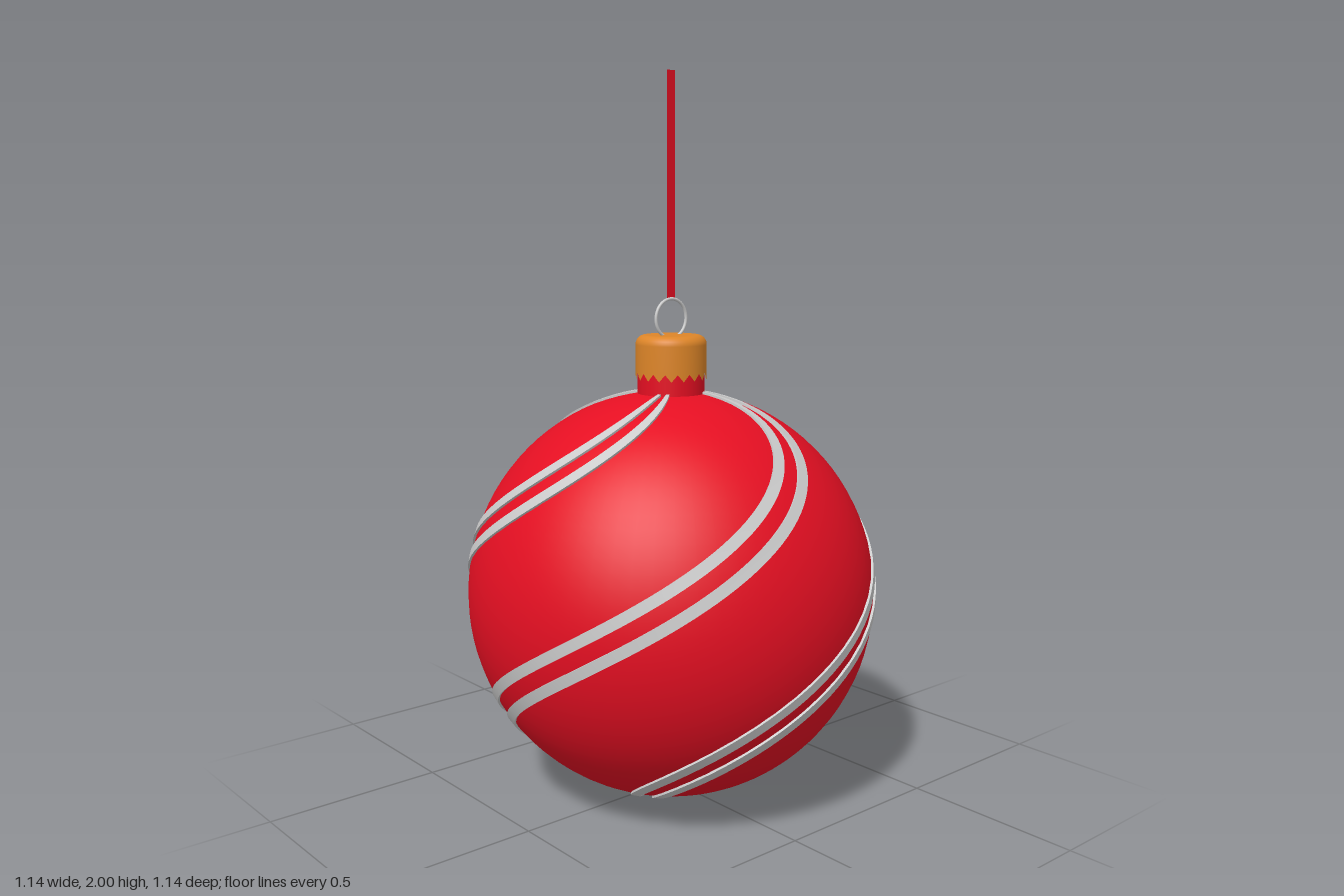
import * as THREE from 'three';

const RED = 0xe50f22, GOLD = 0xdd8528, GREY = 0xcccccc;
const R = 0.569, CENTRE = 0.573;

function part(parent, name, geometry, color, side = THREE.FrontSide) {
  const mesh = new THREE.Mesh(geometry, new THREE.MeshStandardMaterial({ color, side }));
  mesh.name = name;
  parent.add(mesh);
  return mesh;
}

// Raised band that twists round the ball from pole to pole; its turn grows with height
function stripeGeometry(startDeg) {
  const steps = 96, half = THREE.MathUtils.degToRad(2.9), rOut = R + 0.006, rIn = R - 0.01;
  const corners = [[-half, rIn], [-half, rOut], [half, rOut], [half, rIn]];
  const pos = [], index = [];
  for (let face = 0; face < 3; face++) {
    const base = pos.length / 3;
    for (let i = 0; i <= steps; i++) {
      const theta = THREE.MathUtils.lerp(0.1, Math.PI - 0.004, i / steps);
      const phi = THREE.MathUtils.degToRad(startDeg - 97 * Math.cos(theta));
      for (const [a, r] of [corners[face], corners[face + 1]]) {
        pos.push(r * Math.sin(theta) * Math.cos(phi + a), r * Math.cos(theta), r * Math.sin(theta) * Math.sin(phi + a));
      }
      if (i < steps) {
        const k = base + i * 2;
        index.push(k, k + 1, k + 2, k + 1, k + 3, k + 2);
      }
    }
  }
  const g = new THREE.BufferGeometry();
  g.setAttribute('position', new THREE.Float32BufferAttribute(pos, 3));
  g.setIndex(index);
  g.computeVertexNormals();
  return g;
}

// Round cap with a softened top edge and a zigzag lower rim
function capGeometry() {
  const r = 0.098, top = 1.295, bevel = 0.026, teeth = 18;
  const profile = [new THREE.Vector2(r, 1.18), new THREE.Vector2(r, 1.2)];
  for (let i = 0; i <= 6; i++) {
    const a = (i / 6) * Math.PI / 2;
    profile.push(new THREE.Vector2(r - bevel + bevel * Math.cos(a), top - bevel + bevel * Math.sin(a)));
  }
  profile.push(new THREE.Vector2(0, top));
  const g = new THREE.LatheGeometry(profile, teeth * 4);
  const p = g.attributes.position;
  for (let s = 0; s <= teeth * 4; s++) {
    p.setY(s * profile.length, 1.173 + 0.01 * Math.abs((s % 4) - 2));
  }
  return g;
}

export function createModel() {
  const model = new THREE.Group();
  model.name = 'bauble';

  part(model, 'ball', new THREE.SphereGeometry(R, 64, 48), RED).position.y = CENTRE;

  // Four pairs of twisted bands
  const stripes = new THREE.Group();
  stripes.name = 'stripes';
  stripes.position.y = CENTRE;
  model.add(stripes);
  for (let i = 0; i < 4; i++) {
    for (const offset of [0, 14]) {
      part(stripes, 'stripe', stripeGeometry(142 + offset + i * 90), GREY, THREE.DoubleSide);
    }
  }

  // Neck, cap and wire loop
  part(model, 'neck', new THREE.CylinderGeometry(0.093, 0.093, 0.11, 48), RED).position.y = 1.175;
  part(model, 'cap', capGeometry(), GOLD, THREE.DoubleSide);
  const ring = part(model, 'ring', new THREE.TorusGeometry(0.054, 0.0045, 10, 48), GREY);
  ring.position.y = 1.339;
  ring.rotation.y = Math.PI / 2;

  // Flat hanging ribbon
  const ribbon = part(model, 'ribbon', new THREE.PlaneGeometry(0.028, 0.608), RED, THREE.DoubleSide);
  ribbon.position.y = 1.696;
  ribbon.rotation.y = Math.PI / 2;

  return model;
}
